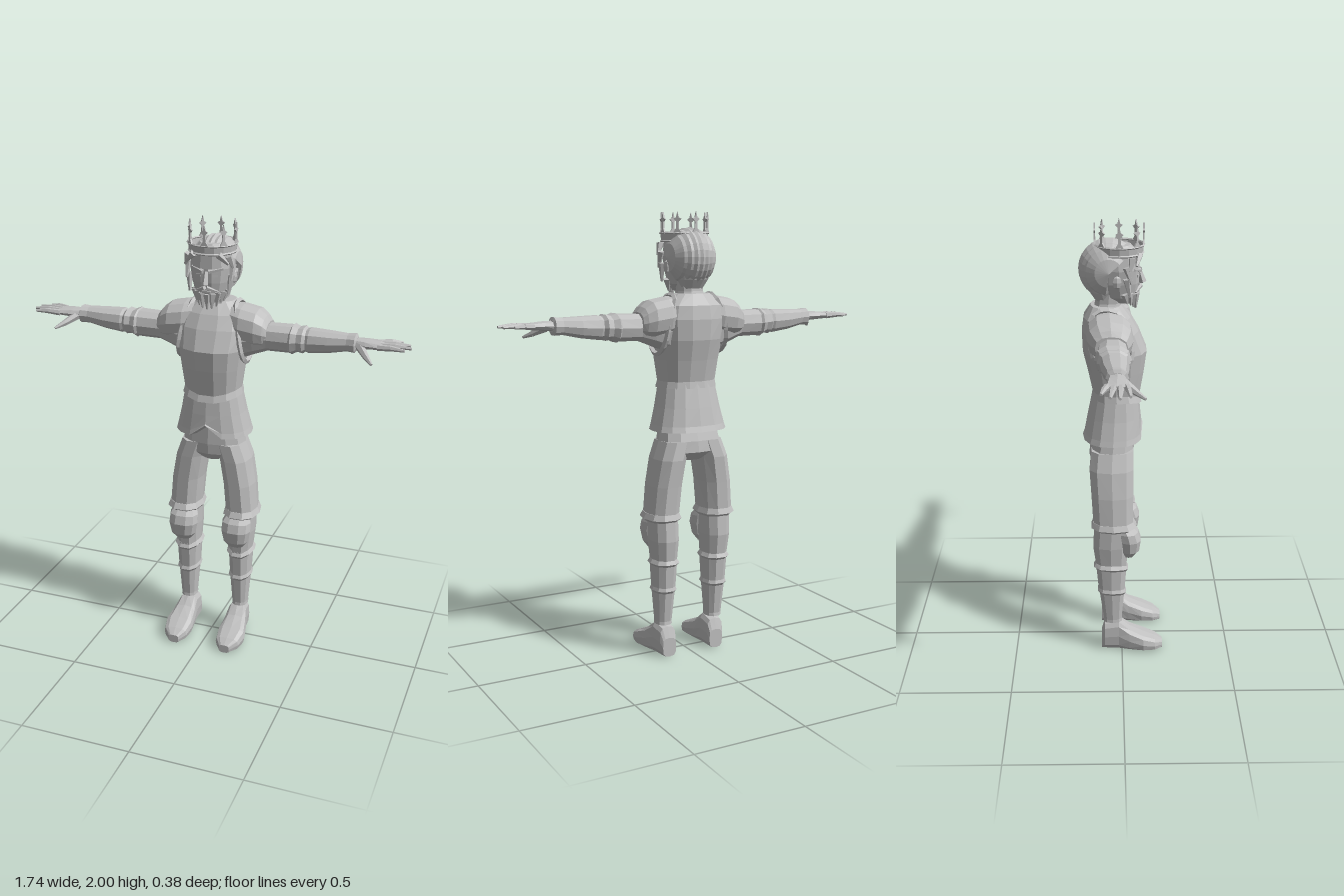
import * as THREE from 'three';

const metal = new THREE.MeshStandardMaterial({ color: 0xc0c0c0, flatShading: true, side: THREE.DoubleSide });
metal.name = 'plain grey';

// Loft of rounded rings along an axis. Ring: [t, centre1, centre2, radius1, radius2, frontDip, frontNotch]
function loft(axis, rings, n = 12, e = 0.85) {
  const pos = [], idx = [];
  const put = (t, a, b) => pos.push(...(axis === 'y' ? [a, t, b] : axis === 'x' ? [t, b, a] : [b, a, t]));
  const pw = v => Math.sign(v) * Math.pow(Math.abs(v), e);
  rings.forEach(([t, c1, c2, r1, r2, dip = 0, notch = 0]) => {
    for (let j = 0; j < n; j++) {
      const a = j / n * Math.PI * 2, s = Math.max(0, Math.sin(a));
      put(t - dip * s ** 3 + notch * s ** 60, c1 + r1 * pw(Math.cos(a)), c2 + r2 * pw(Math.sin(a)));
    }
  });
  for (let i = 0; i < rings.length - 1; i++) for (let j = 0; j < n; j++) {
    const a = i * n + j, b = i * n + (j + 1) % n;
    idx.push(a, a + n, b, b, a + n, b + n);
  }
  const last = rings.length - 1, m = rings.length * n;
  put(rings[0][0], rings[0][1], rings[0][2]);
  put(rings[last][0], rings[last][1], rings[last][2]);
  for (let j = 0; j < n; j++) {
    const k = (j + 1) % n;
    idx.push(m, j, k, m + 1, last * n + k, last * n + j);
  }
  const g = new THREE.BufferGeometry();
  g.setAttribute('position', new THREE.Float32BufferAttribute(pos, 3));
  g.setIndex(idx);
  g.computeVertexNormals();
  return g;
}

// Tapered rod between two points
function rod(p, q, r0, r1, n = 5) {
  const a = new THREE.Vector3(...p), b = new THREE.Vector3(...q), d = b.clone().sub(a);
  const g = new THREE.CylinderGeometry(r1, r0, d.length(), n);
  g.applyQuaternion(new THREE.Quaternion().setFromUnitVectors(new THREE.Vector3(0, 1, 0), d.normalize()));
  return g.translate(...a.add(b).multiplyScalar(0.5).toArray());
}

// Copy reflected across x = 0, with corner order restored
function mirror(geo) {
  const g = geo.clone(), p = g.attributes.position, ix = g.index.array;
  for (let i = 0; i < p.count; i++) p.setX(i, -p.getX(i));
  for (let i = 0; i < ix.length; i += 3) [ix[i], ix[i + 1]] = [ix[i + 1], ix[i]];
  g.computeVertexNormals();
  return g;
}

export function createModel() {
  const root = new THREE.Group();
  root.name = 'armouredKing';
  const add = (name, geo) => {
    const m = new THREE.Mesh(geo, metal);
    m.name = name;
    root.add(m);
    return m;
  };
  const pair = (name, geo) => {
    add(name + 'Left', geo);
    add(name + 'Right', mirror(geo));
  };

  // Torso
  add('cuirass', loft('y', [
    [1.235, 0, -.022, .137, .112, .025], [1.265, 0, -.025, .13, .105, .025], [1.36, 0, -.025, .142, .125],
    [1.45, 0, -.03, .155, .142], [1.54, 0, -.05, .165, .125], [1.6, 0, -.063, .15, .103], [1.65, 0, -.068, .085, .067]
  ], 14));
  add('skirt', loft('y', [
    [1.045, 0, -.04, .175, .135, 0, .06], [1.07, 0, -.038, .168, .128, 0, .04],
    [1.15, 0, -.033, .148, .118], [1.27, 0, -.026, .125, .1]
  ], 16));
  add('hips', loft('y', [
    [.91, 0, -.045, .05, .06], [.95, 0, -.047, .14, .1], [1.0, 0, -.042, .148, .1], [1.09, 0, -.03, .13, .085]
  ]));
  const armhole = new THREE.CatmullRomCurve3([
    [.1, 1.635, -.02], [.128, 1.54, .035], [.148, 1.43, .035], [.152, 1.385, -.03], [.152, 1.43, -.11], [.135, 1.54, -.135], [.1, 1.635, -.11]
  ].map(p => new THREE.Vector3(...p)), true);
  pair('armholeRim', new THREE.TubeGeometry(armhole, 20, .012, 4, true));

  // Shoulders and arms
  pair('pauldron', loft('x', [
    [.085, -.055, 1.56, .085, .08], [.13, -.053, 1.55, .1, .088], [.2, -.05, 1.54, .098, .085],
    [.235, -.047, 1.53, .083, .068], [.252, -.045, 1.525, .07, .05]
  ], 12));
  pair('upperSleeve', loft('x', [
    [.12, -.045, 1.49, .085, .095], [.19, -.043, 1.5, .078, .075], [.25, -.04, 1.508, .065, .06],
    [.36, -.04, 1.51, .07, .06]
  ], 10));
  pair('elbowGuard', loft('x', [
    [.345, -.04, 1.51, .066, .05], [.36, -.04, 1.51, .078, .065], [.385, -.038, 1.512, .066, .053],
    [.41, -.037, 1.513, .07, .058], [.425, -.035, 1.513, .055, .045]
  ], 10));
  pair('forearm', loft('x', [
    [.41, -.035, 1.513, .05, .045], [.435, -.034, 1.513, .06, .054], [.52, -.032, 1.517, .055, .047],
    [.6, -.028, 1.524, .043, .037], [.635, -.025, 1.525, .046, .04], [.642, -.025, 1.525, .032, .026]
  ], 10));
  pair('palm', loft('x', [
    [.62, -.025, 1.527, .03, .022], [.68, -.025, 1.528, .043, .02], [.74, -.028, 1.528, .048, .015], [.757, -.028, 1.528, .042, .01]
  ], 8));
  [[.825, -.088], [.862, -.053], [.872, -.017], [.85, .022]].forEach(([x, z], i) => {
    const k = [.735, -.064 + i * .025], mid = [(k[0] + x) / 2, (k[1] + z) / 2];
    pair('fingerBase' + (i + 1), rod([k[0], 1.528, k[1]], [mid[0], 1.532, mid[1]], .014, .012, 6));
    pair('fingerTip' + (i + 1), rod([mid[0], 1.532, mid[1]], [x, 1.529, z], .012, .006, 6));
  });
  pair('thumbBase', rod([.655, 1.52, -.005], [.695, 1.493, .045], .02, .014, 6));
  pair('thumbTip', rod([.695, 1.493, .045], [.727, 1.475, .083], .014, .006, 6));

  // Legs
  pair('trouserLeg', loft('y', [
    [.66, .137, -.04, .073, .093], [.8, .125, -.043, .073, .098], [.92, .105, -.046, .072, .103], [1.0, .078, -.042, .07, .098]
  ], 10));
  pair('trouserCuff', loft('y', [
    [.637, .135, -.037, .072, .09], [.65, .137, -.037, .085, .107], [.675, .137, -.04, .074, .095]
  ], 10));
  pair('upperGreave', loft('y', [
    [.425, .13, -.048, .05, .066, .015], [.443, .13, -.05, .066, .082, .015], [.46, .13, -.05, .055, .073, .015],
    [.55, .132, -.052, .063, .083], [.66, .133, -.045, .063, .083]
  ], 10));
  pair('middleGreave', loft('y', [
    [.3, .13, -.046, .046, .057, .01], [.315, .13, -.047, .056, .069, .01], [.33, .13, -.048, .05, .063, .01], [.45, .13, -.049, .056, .073]
  ], 10));
  pair('lowerGreave', loft('y', [
    [.15, .13, -.043, .038, .045], [.165, .13, -.043, .037, .043], [.32, .13, -.047, .049, .061]
  ], 10));
  pair('kneeGuard', loft('y', [
    [.495, .13, .03, .035, .025], [.525, .13, .035, .058, .045], [.58, .13, .035, .07, .053],
    [.62, .13, .025, .068, .05], [.645, .13, .01, .056, .04]
  ], 10));
  pair('foot', loft('z', [
    [-.095, .045, .122, .045, .034], [-.08, .07, .124, .07, .041], [-.015, .078, .126, .078, .046], [.035, .058, .13, .058, .056],
    [.1, .043, .133, .043, .067], [.155, .031, .131, .031, .056], [.19, .02, .128, .02, .025]
  ], 12, .65));

  // Head and face
  add('neck', loft('y', [[1.6, 0, -.065, .075, .068], [1.66, 0, -.058, .057, .058], [1.73, 0, -.05, .06, .06]], 10));
  add('head', loft('y', [
    [1.66, 0, .015, .04, .04], [1.69, 0, -.005, .068, .072], [1.75, 0, -.012, .086, .088],
    [1.81, 0, -.012, .095, .09], [1.87, 0, -.02, .09, .095], [1.91, 0, -.03, .06, .07]
  ], 14));
  add('nose', rod([0, 1.8, .076], [0, 1.745, .092], .009, .016, 4));
  add('mouth', new THREE.BoxGeometry(.04, .007, .008).translate(0, 1.712, .073));
  pair('brow', rod([.012, 1.8, .08], [.07, 1.813, .053], .01, .007, 5));
  pair('eye', new THREE.BoxGeometry(.026, .011, .006).rotateY(.35).translate(.038, 1.782, .07));
  pair('moustache', rod([.004, 1.731, .082], [.05, 1.712, .06], .01, .004, 5));
  pair('ear', new THREE.SphereGeometry(.022, 6, 4).scale(.5, 1.3, 1).translate(.094, 1.765, -.02));

  // Beard locks around the jaw
  for (let i = -4; i <= 4; i++) {
    const a = i * .33, s = Math.sin(a), c = Math.cos(a);
    add('beardLock', rod([.074 * s, 1.7 + .012 * Math.abs(s), -.005 + .068 * c],
      [.062 * s, 1.632 + .035 * s * s, .012 + .05 * c], .019, .004, 5));
  }
  // Temple curls and side whiskers
  [[.09, 1.865, .045, .108, 1.815, .035], [.1, 1.83, .02, .1, 1.76, .042], [.095, 1.78, .02, .088, 1.7, .035],
    [.055, 1.875, .075, .095, 1.835, .062]].forEach(([a, b, c, d, e, f]) =>
    pair('sideCurl', rod([a, b, c], [d, e, f], .017, .006, 5)));

  // Hair: grooved bands sweeping from the brow over to the nape
  const bands = 9, profile = [];
  for (let i = 0; i <= bands * 2; i++) {
    const t = -1 + i / bands, groove = i % 2 ? 1 : .955;
    profile.push(new THREE.Vector2(.13 * Math.sqrt(Math.max(0, 1 - t * t)) * groove + .0005, .114 * t));
  }
  const deg = Math.PI / 180;
  add('hair', new THREE.LatheGeometry(profile, 16, -262 * deg, 222 * deg).rotateZ(-Math.PI / 2).translate(0, 1.805, -.055));
  add('napeHair', loft('y', [[1.665, 0, -.075, .045, .035], [1.71, 0, -.085, .07, .055], [1.77, 0, -.085, .088, .075]], 10));

  // Crown: flared band, rims and eight star-tipped points
  add('crownBand', new THREE.CylinderGeometry(.106, .102, .035, 16, 1, true).translate(0, 1.892, -.01));
  for (const [y, r] of [[1.875, .103], [1.91, .107]])
    add('crownRim', new THREE.TorusGeometry(r, .005, 4, 16).rotateX(Math.PI / 2).translate(0, y, -.01));
  const outline = [[.02, 0], [.006, .022], [.005, .05], [.017, .062], [.006, .068], [0, .092]];
  const left = outline.slice(0, -1).reverse().map(([x, y]) => [-x, y]);
  const point = new THREE.Shape([...outline, ...left].map(p => new THREE.Vector2(...p)));
  for (let i = 0; i < 8; i++)
    add('crownPoint', new THREE.ExtrudeGeometry(point, { depth: .007, bevelEnabled: false })
      .translate(0, 1.908, .101).rotateY(i * Math.PI / 4).translate(0, 0, -.01));

  return root;
}
